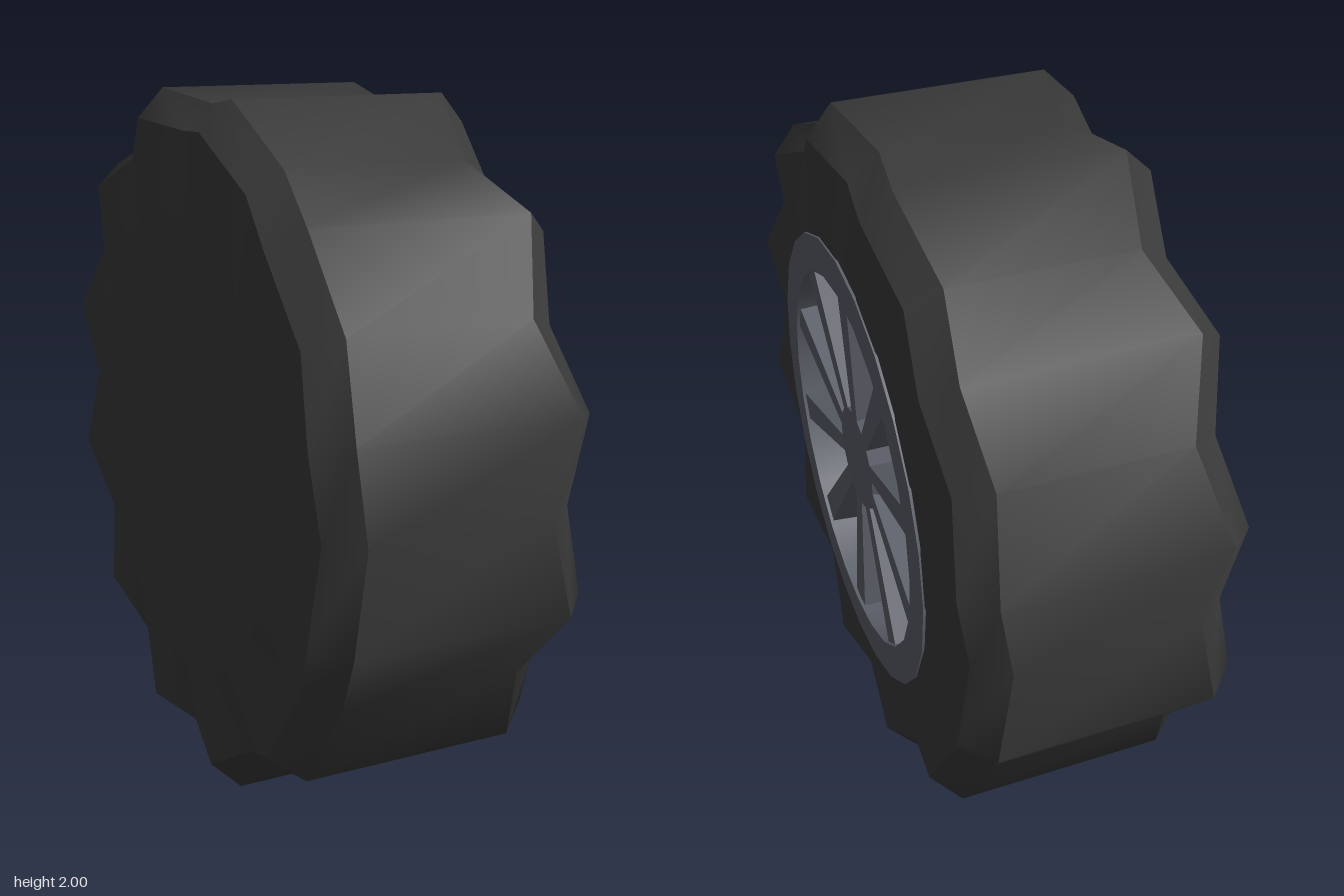
import * as THREE from 'three';

const rubber = new THREE.MeshStandardMaterial({ color: 0x3a3a3a });
rubber.name = 'dark rubber';
const metal = new THREE.MeshStandardMaterial({ color: 0x5c6069 });
metal.name = 'blue grey metal';

// Band around the x axis between two rings; each ring is [radius, x] at even
// and odd steps, so a lobed ring is { valley, peak } and a round one is equal.
function band(a, b, sides, flat = false) {
  const pos = [], index = [];
  for (const ring of [a, b]) {
    for (let i = 0; i < sides; i++) {
      const [r, x] = i % 2 ? ring.peak : ring.valley;
      const t = (i / sides) * Math.PI * 2;
      pos.push(x, r * Math.cos(t), r * Math.sin(t));
    }
  }
  for (let i = 0; i < sides; i++) {
    const j = (i + 1) % sides;
    index.push(i, j, sides + i, j, sides + j, sides + i);
  }
  let g = new THREE.BufferGeometry();
  g.setAttribute('position', new THREE.Float32BufferAttribute(pos, 3));
  g.setIndex(index);
  if (flat) g = g.toNonIndexed();
  g.computeVertexNormals();
  return g;
}

const round = (r, x) => ({ valley: [r, x], peak: [r, x] });
const lobed = (rv, xv, rp, xp) => ({ valley: [rv, xv], peak: [rp, xp] });

// Consecutive bands with a sharp edge at every ring
function shell(name, rings, sides, material, flat) {
  const group = new THREE.Group();
  group.name = name;
  for (let i = 0; i + 1 < rings.length; i++) {
    const mesh = new THREE.Mesh(band(rings[i], rings[i + 1], sides, flat), material);
    mesh.name = name + 'Band';
    group.add(mesh);
  }
  return group;
}

// Tapered spoke along +y, wider at the outer end and at the back
function spokeGeometry() {
  const g = new THREE.BoxGeometry(1, 1, 1);
  const p = g.attributes.position;
  for (let i = 0; i < p.count; i++) {
    const outer = p.getY(i) > 0, front = p.getX(i) > 0;
    const half = (outer ? 0.043 : 0.025) + (front ? 0 : 0.013);
    const x = front ? (outer ? 0.385 : 0.369) : (outer ? 0.22 : 0.19);
    p.setXYZ(i, x, outer ? 0.565 : 0.13, Math.sign(p.getZ(i)) * half);
  }
  g.computeVertexNormals();
  return g;
}

export function createModel() {
  const wheel = new THREE.Group();
  wheel.name = 'wheel';
  const SIDES = 24;

  // Tyre: closed back, lobed shoulders and tread, front wall up to the rim
  wheel.add(shell('tyre', [
    round(0, -0.395),
    round(0.67, -0.395),
    lobed(0.9, -0.35, 0.95, -0.395),
    lobed(0.97, -0.26, 1.035, -0.31),
    lobed(0.97, 0.26, 1.035, 0.31),
    lobed(0.9, 0.35, 0.95, 0.39),
    round(0.66, 0.39),
  ], SIDES, rubber));

  // Dark floor at the bottom of the barrel
  wheel.add(shell('barrelFloor', [round(0.57, -0.385), round(0, -0.385)], SIDES, rubber));

  // Rim: lip, front ring and deep barrel
  wheel.add(shell('rim', [
    round(0.675, 0.385), round(0.675, 0.395), round(0.565, 0.395), round(0.565, -0.385),
  ], SIDES, metal));

  // Hub: ten-sided cone, narrow at the front
  wheel.add(shell('hub', [
    round(0, 0.15), round(0.24, 0.15), round(0.16, 0.37), round(0, 0.37),
  ], 10, metal, true));

  // Spokes
  const spoke = spokeGeometry();
  for (let i = 0; i < 10; i++) {
    const mesh = new THREE.Mesh(spoke, metal);
    mesh.name = 'spoke';
    mesh.rotation.x = (i / 10) * Math.PI * 2;
    wheel.add(mesh);
  }

  wheel.position.y = 1;
  const model = new THREE.Group();
  model.name = 'wheelModel';
  model.add(wheel);
  return model;
}
